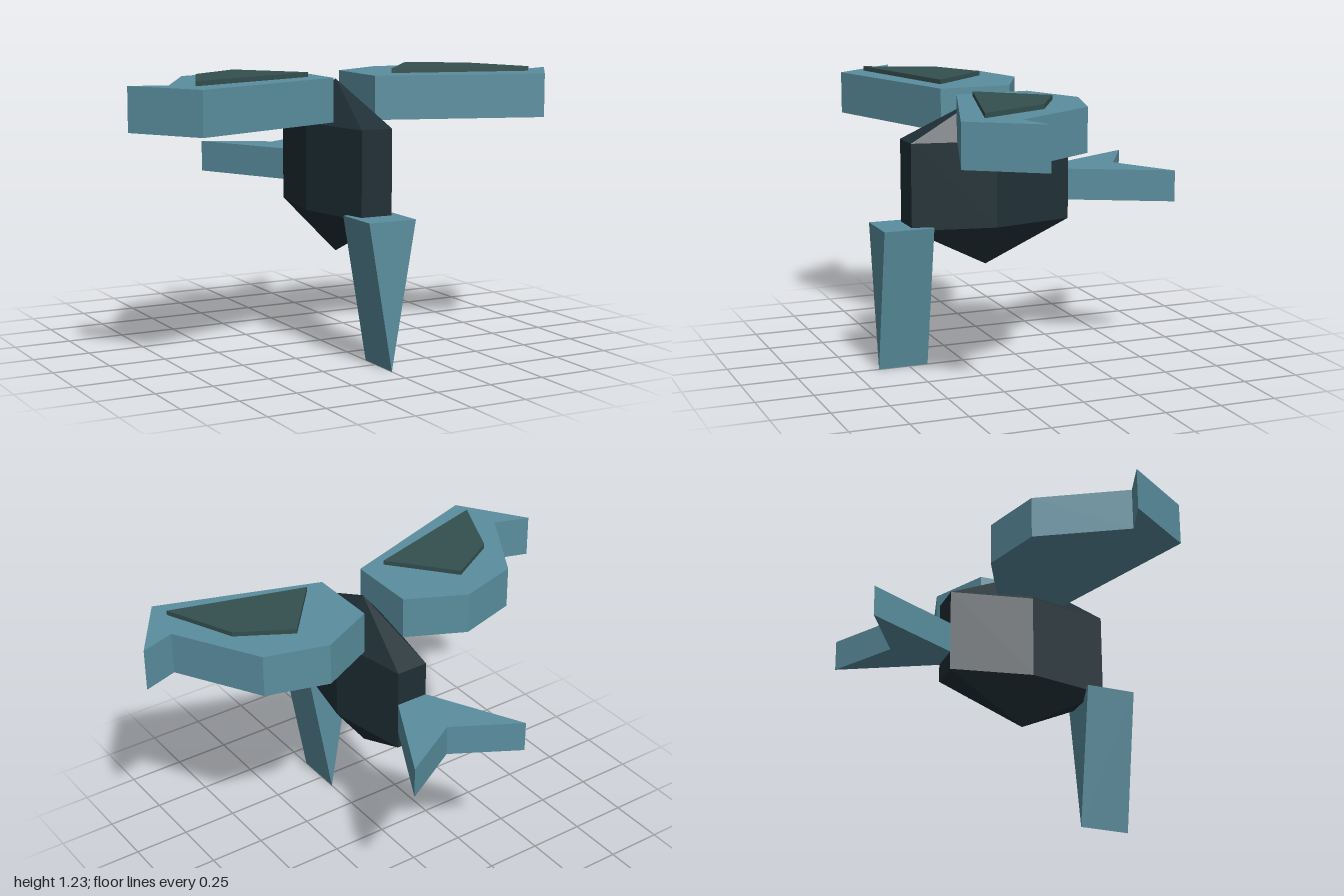
import * as THREE from 'three';

const paint = (color) => new THREE.MeshStandardMaterial({ color, flatShading: true });

const extrude = (points, depth) =>
  new THREE.ExtrudeGeometry(new THREE.Shape(points.map(([x, y]) => new THREE.Vector2(x, y))), {
    depth,
    bevelEnabled: false,
  });

// Horizontal slab from an [x, z] outline, between heights y0 and y1
function slab(outline, y0, y1) {
  const geometry = extrude(outline.map(([x, z]) => [x, -z]), y1 - y0);
  return geometry.rotateX(-Math.PI / 2).translate(0, y0, 0);
}

export function createModel() {
  const model = new THREE.Group();
  model.name = 'bird';
  const blue = paint(0x5b8fa0);
  const dark = paint(0x1f2f36);
  const green = paint(0x344f4f);

  const add = (name, geometry, material) => {
    const mesh = new THREE.Mesh(geometry, material);
    mesh.name = name;
    model.add(mesh);
  };

  // Body: six-sided prism with pointed top and bottom, stretched front to back
  const profile = [[0, 0.43], [0.143, 0.62], [0.143, 0.997], [0, 1.18]];
  const body = new THREE.LatheGeometry(profile.map(([r, y]) => new THREE.Vector2(r, y)), 6, Math.PI / 2);
  body.scale(1, 1, 0.363 / (0.143 * Math.sin(Math.PI / 3))).translate(0, 0, 0.141);
  add('body', body, dark);

  // Beak: wedge pointing down
  add('beak', extrude([[-0.11, 0.633], [0, 0], [0.11, 0.633]], 0.223).translate(0, 0, 0.415), blue);

  // Forked tail
  const tail = [[-0.072, -0.222], [0.072, -0.222], [0.286, -0.638], [0, -0.473], [-0.286, -0.638]];
  add('tail', slab(tail, 0.703, 0.841), blue);

  // Wings with raised panels
  const wing = [[0.1, -0.015], [0.355, -0.141], [0.63, -0.062], [0.843, 0.307], [1, 0.255], [0.802, 0.547], [0.1, 0.307]];
  const panel = [[0.2, 0.272], [0.422, 0.005], [0.652, 0.138], [0.787, 0.443]];
  for (const [side, s] of [['left', 1], ['right', -1]]) {
    const mirror = (points) => points.map(([x, z]) => [s * x, z]);
    add(side + 'Wing', slab(mirror(wing), 1.012, 1.2), blue);
    add(side + 'WingPanel', slab(mirror(panel), 1.205, 1.225), green);
  }
  return model;
}
